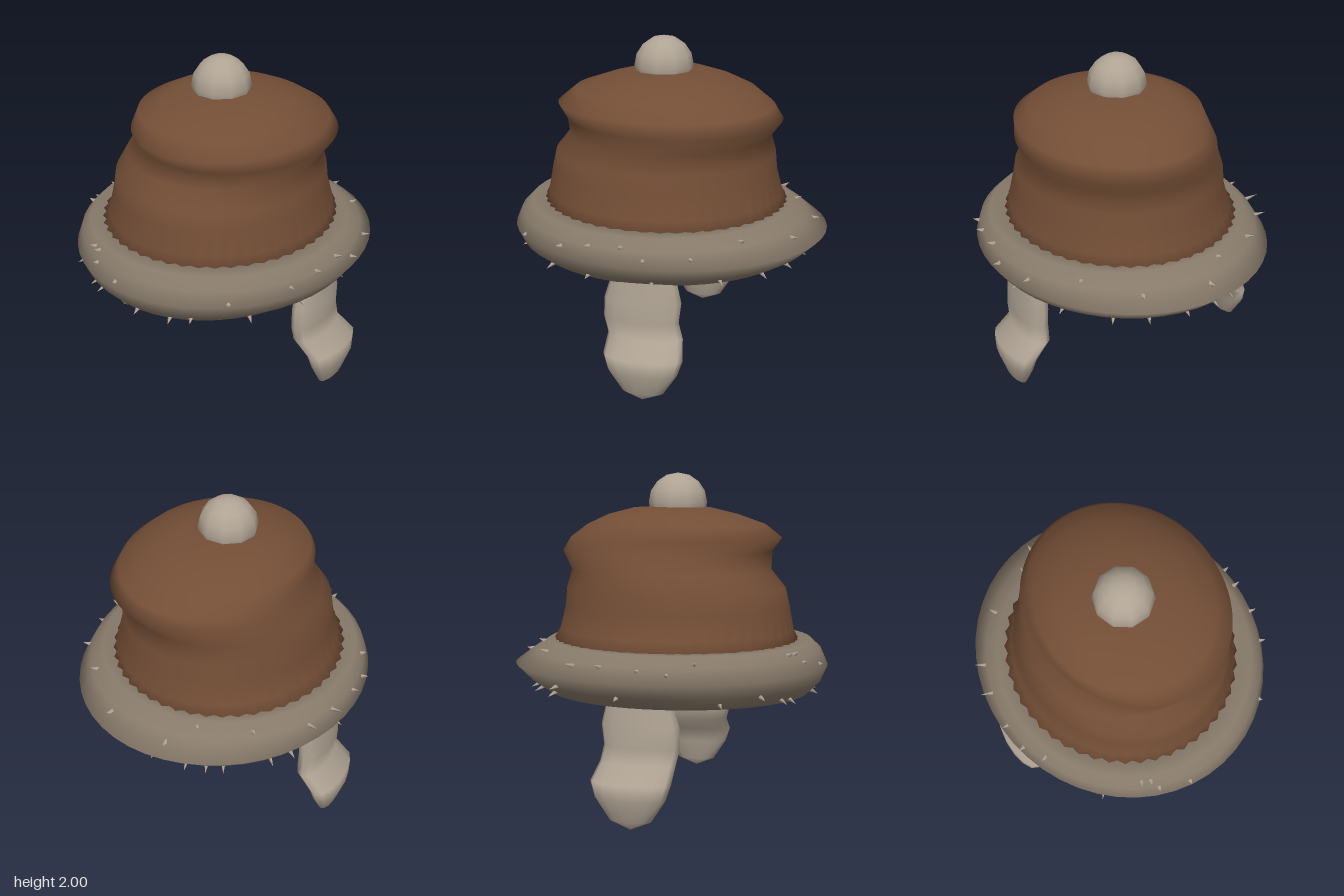
import * as THREE from 'three';

const mat = (name, color, extra = {}) =>
  Object.assign(new THREE.MeshStandardMaterial({ color, ...extra }), { name });

// Ellipse point on a cross-section row [y, xMin, xMax, zMin, zMax]
function ringPoint([y, x0, x1, z0, z1], a, k = 1) {
  return new THREE.Vector3(
    (x0 + x1) / 2 + (x1 - x0) / 2 * k * Math.sin(a), y,
    (z0 + z1) / 2 + (z1 - z0) / 2 * k * Math.cos(a));
}

// Smooth skin over elliptical rows; closed joins the last row to the first
function loft(rows, n, closed = false, wobble = () => 1) {
  const pos = [], idx = [];
  rows.forEach((row, j) => {
    for (let i = 0; i < n; i++) pos.push(...ringPoint(row, i / n * Math.PI * 2, wobble(i, j)).toArray());
  });
  const m = rows.length;
  for (let j = 0; j < (closed ? m : m - 1); j++) {
    for (let i = 0; i < n; i++) {
      const i2 = (i + 1) % n, j2 = (j + 1) % m;
      const a = j * n + i, b = j * n + i2, c = j2 * n + i2, d = j2 * n + i;
      idx.push(a, b, c, a, c, d);
    }
  }
  const g = new THREE.BufferGeometry();
  g.setAttribute('position', new THREE.Float32BufferAttribute(pos, 3));
  g.setIndex(idx);
  g.computeVertexNormals();
  return g;
}

export function createModel() {
  const root = new THREE.Group();
  root.name = 'furHat';
  const leather = mat('brown leather', 0x734e36, { side: THREE.DoubleSide });
  const fur = mat('grey brown fur', 0x877a6a);
  const pale = mat('pale fur', 0xb0a494);
  const add = (name, geo, material, parent = root) => {
    const mesh = new THREE.Mesh(geo, material);
    mesh.name = name;
    parent.add(mesh);
    return mesh;
  };

  // Slouched crown, with a jagged hem where it meets the brim
  const crownRows = [
    [0.90, -0.64, 0.67, -0.66, 0.74],
    [1.005, -0.67, 0.70, -0.685, 0.77],
    [1.06, -0.635, 0.69, -0.675, 0.76],
    [1.20, -0.60, 0.655, -0.64, 0.735],
    [1.31, -0.59, 0.64, -0.63, 0.71],
    [1.42, -0.545, 0.60, -0.60, 0.62],
    [1.53, -0.49, 0.67, -0.68, 0.615],
    [1.61, -0.47, 0.64, -0.63, 0.675],
    [1.69, -0.45, 0.55, -0.51, 0.58],
    [1.75, -0.33, 0.43, -0.38, 0.41],
    [1.79, -0.23, 0.29, -0.22, 0.25],
    [1.805, 0.03, 0.03, 0.04, 0.04],
  ];
  add('crown', loft(crownRows, 96, false, (i, j) => (j === 1 ? (i % 2 ? 1.025 : 0.995) : 1)), leather);

  // Thick fur brim: up the outside, over the top, down the inside
  const brimRows = [
    [0.69, -0.71, 0.73, -0.75, 0.86],
    [0.76, -0.79, 0.84, -0.86, 0.93],
    [0.85, -0.85, 0.905, -0.955, 0.97],
    [0.94, -0.81, 0.87, -0.83, 0.93],
    [1.00, -0.75, 0.80, -0.735, 0.87],
    [1.00, -0.62, 0.66, -0.62, 0.72],
    [0.87, -0.53, 0.57, -0.55, 0.63],
    [0.76, -0.55, 0.59, -0.57, 0.65],
    [0.69, -0.62, 0.65, -0.64, 0.74],
  ];
  add('brim', loft(brimRows, 48, true), fur);

  // Fur tufts on the brim: [angle in degrees, position up the outside rows, length]
  const tufts = [
    [-28, 3.5, 0.05], [-24, 3.5, 0.05], [-21, 2.8, 0.04], [0, 0.3, 0.07], [16, 0.2, 0.07], [25, 0.7, 0.06],
    [50, 0.3, 0.08], [62, 2.6, 0.06], [75, 3.0, 0.06], [88, 3.2, 0.07], [95, 2.5, 0.06], [112, 2.6, 0.07],
    [135, 3.3, 0.06], [158, 2.7, 0.05], [177, 0.5, 0.07], [186, 2.6, 0.05], [196, 3.6, 0.05],
    [219, 3.3, 0.07], [243, 2.8, 0.10], [255, 2.9, 0.12], [270, 2.8, 0.06], [281, 2.6, 0.06],
    [316, 1.0, 0.08], [329, 0.4, 0.08], [335, 0.3, 0.08], [352, 2.4, 0.03], [38, 2.2, 0.03],
    [145, 0.4, 0.08], [160, 0.5, 0.08], [192, 0.4, 0.09], [201, 0.5, 0.09], [208, 0.4, 0.09],
    [228, 0.6, 0.09], [236, 1.3, 0.08], [124, 0.7, 0.07], [98, 0.6, 0.06], [262, 1.0, 0.06],
    [290, 3.3, 0.05], [300, 0.5, 0.07], [72, 0.6, 0.06],
  ];
  const tuftGroup = new THREE.Group();
  tuftGroup.name = 'tufts';
  root.add(tuftGroup);
  const up = new THREE.Vector3(0, 1, 0);
  for (const [deg, t, len] of tufts) {
    const a = THREE.MathUtils.degToRad(deg), j = Math.floor(t);
    const p = ringPoint(brimRows[j], a).lerp(ringPoint(brimRows[j + 1], a), t - j);
    const out = new THREE.Vector3(Math.sin(a), (p.y - 0.85) * 4, Math.cos(a)).normalize();
    const tuft = add('tuft', new THREE.ConeGeometry(0.02, len, 5), pale, tuftGroup);
    tuft.position.copy(p).addScaledVector(out, len * 0.15);
    tuft.quaternion.setFromUnitVectors(up, out);
  }

  // Ear flaps, bent outwards at the lower half
  const flapRows = [
    [0.00, 0.80, 0.80, -0.02, -0.02],
    [0.05, 0.755, 0.84, -0.145, 0.10],
    [0.18, 0.725, 0.885, -0.23, 0.185],
    [0.27, 0.70, 0.885, -0.26, 0.215],
    [0.36, 0.605, 0.775, -0.235, 0.215],
    [0.46, 0.60, 0.775, -0.21, 0.24],
    [0.58, 0.60, 0.77, -0.225, 0.235],
    [0.69, 0.605, 0.755, -0.20, 0.20],
    [0.82, 0.63, 0.75, -0.17, 0.17],
  ];
  add('leftEarFlap', loft(flapRows, 14), pale);
  add('rightEarFlap', loft(flapRows.map(([y, x0, x1, z0, z1]) => [y, 0.054 - x1, 0.054 - x0, z0, z1]), 14), pale);

  // Pompom
  add('pompom', new THREE.SphereGeometry(0.177, 10, 8), pale).position.set(0.03, 1.823, 0.05);

  return root;
}
